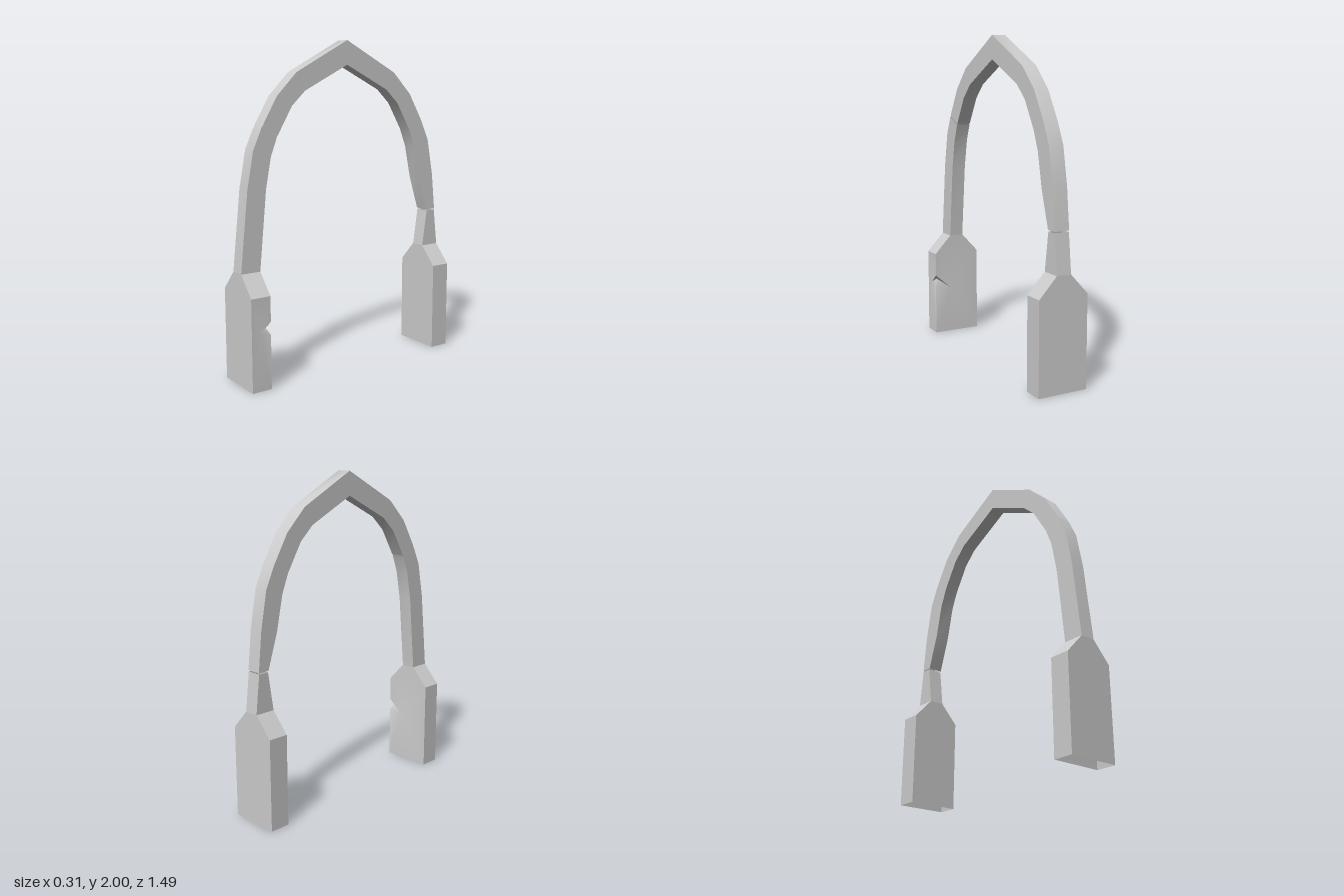
import * as THREE from 'three';
import { toCreasedNormals } from 'three/addons/utils/BufferGeometryUtils.js';

const W = 0.157, A = 0.046;      // half widths of the foot and of the arch
const SHOULDER = 0.555, NECK = 0.675;

const material = new THREE.MeshStandardMaterial({ color: 0xcccccc, side: THREE.DoubleSide });

// Mesh from polygons, each fanned from its first corner; edges sharper than the crease stay hard
function polyMesh(name, polygons, creaseDegrees) {
  const points = [];
  for (const p of polygons)
    for (let i = 1; i < p.length - 1; i++) points.push(...p[0], ...p[i], ...p[i + 1]);
  const geometry = new THREE.BufferGeometry();
  geometry.setAttribute('position', new THREE.Float32BufferAttribute(points, 3));
  const crease = THREE.MathUtils.degToRad(creaseDegrees);
  const mesh = new THREE.Mesh(toCreasedNormals(geometry, crease), material);
  mesh.name = name;
  return mesh;
}

// Square bar swept through [outer z, outer y, inner z, inner y] stations
function archSection(name, stations, half = A) {
  const polygons = [];
  const outer = (s, x) => [x, s[1], s[0]];
  const inner = (s, x) => [x, s[3], s[2]];
  for (let i = 0; i < stations.length - 1; i++) {
    const s = stations[i], t = stations[i + 1];
    polygons.push(
      [outer(s, half), inner(s, half), inner(t, half), outer(t, half)],
      [outer(t, -half), inner(t, -half), inner(s, -half), outer(s, -half)],
      [outer(s, -half), outer(s, half), outer(t, half), outer(t, -half)],
      [inner(s, half), inner(s, -half), inner(t, -half), inner(t, half)]
    );
  }
  return polyMesh(name, polygons, 60);
}

// Hollow foot with sloped shoulders, open below; optionally chipped on one inner edge
function foot(name, z0, z1, chipped) {
  const outline = [[-W, 0], [W, 0], [W, SHOULDER], [A, NECK], [-A, NECK], [-W, SHOULDER]];
  const at = (p, z) => [p[0], p[1], z];
  const polygons = [outline.map(p => at(p, z1))];

  // Rim: the bottom stays open and the arch covers the neck
  for (const i of chipped ? [2, 4, 5] : [1, 2, 4, 5]) {
    const p = outline[i], q = outline[(i + 1) % 6];
    polygons.push([at(p, z1), at(p, z0), at(q, z0), at(q, z1)]);
  }

  if (!chipped) {
    polygons.push(outline.map(p => at(p, z0)).reverse());
  } else {
    // Chip corners: top and bottom on the edge, one on each face, one deep inside
    const top = [W, 0.405, z0], low = [W, 0.325, z0];
    const face = [0.05, 0.31, z0], side = [W, 0.35, 0.687], deep = [0.138, 0.375, 0.65];
    const [a, b, c, d, e, f] = outline.map(p => at(p, z0));
    polygons.push(
      [face, low, b, a, f, e, d, c, top],
      [side, top, c, [W, SHOULDER, z1], [W, 0, z1], b, low],
      [low, face, deep], [face, top, deep], [top, side, deep], [side, low, deep]
    );
  }
  return polyMesh(name, polygons, 30);
}

export function createModel() {
  const model = new THREE.Group();
  model.name = 'pointedArch';

  // Upper curve shared by both halves, from the front joint to just below the peak
  const joint = [0.594, 1.505, 0.493, 1.45];
  const jointLow = [0.6, 1.493, 0.498, 1.439];
  const curve = [joint, [0.493, 1.677, 0.393, 1.619], [0.36, 1.811, 0.302, 1.705]];
  const mirrored = curve.map(([oz, oy, iz, iy]) => [-oz, oy, -iz, iy]).reverse();

  model.add(
    foot('frontFoot', 0.62, 0.745, true),
    foot('backFoot', -0.745, -0.62, false),
    archSection('frontArm', [
      [0.745, NECK, 0.62, NECK], [0.695, 1.153, 0.573, 1.153],
      [0.653, 1.376, 0.538, 1.335], jointLow
    ]),
    // Shallow groove where the front arm meets the top
    archSection('jointGroove', [jointLow, joint], A - 0.003),
    archSection('archTop', [
      ...curve, [0, 2, 0, 1.855], ...mirrored,
      [-0.653, 1.376, -0.538, 1.335], [-0.695, 1.153, -0.581, 1.132],
      [-0.72, 0.915, -0.65, 0.915]
    ]),
    // Pinched neck above the back foot, parted from the arch by a hairline gap
    archSection('backNeck', [[-0.718, 0.907, -0.654, 0.907], [-0.745, NECK, -0.62, NECK]])
  );
  return model;
}
